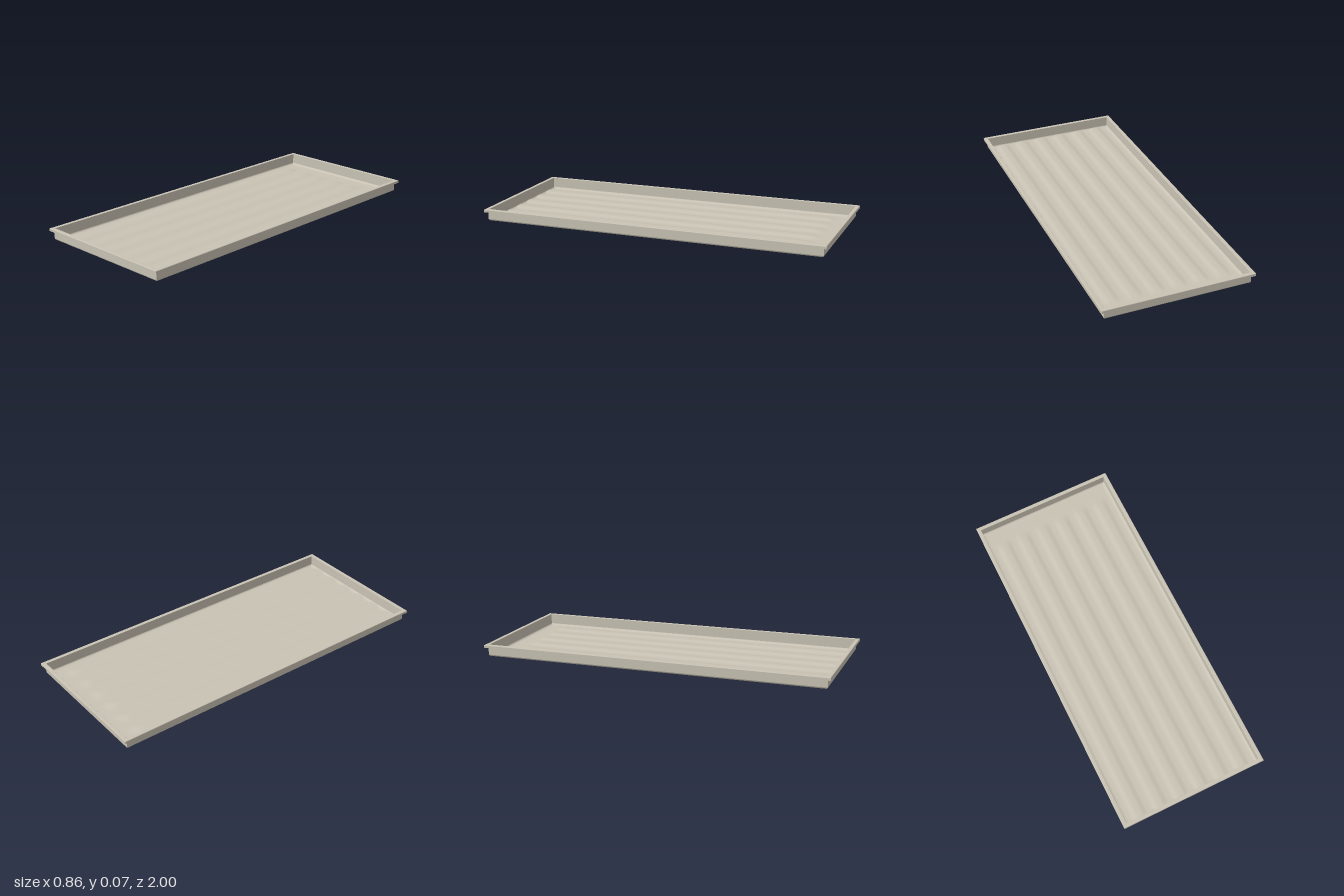
import * as THREE from 'three';

const HALF_X = 0.412, HALF_Z = 0.982; // outside of the tray walls
const SHEET = 0.004, EDGE_Y = 0.012, FILLET = 0.022;

// Six raised ribs run lengthwise, fading out before the back wall
function ribHeight(x, z) {
  const along = THREE.MathUtils.smoothstep(z, -0.89, -0.84);
  const pitch = 0.127;
  if (Math.abs(x) > pitch * 3) return 0;
  const wave = 0.5 - 0.5 * Math.cos((2 * Math.PI * x) / pitch);
  return 0.006 * along * THREE.MathUtils.smoothstep(wave, 0.05, 0.95);
}

// Grid lines: dense in the edge fillets, even in between
function gridLines(half, steps) {
  const edge = [0, 0.0015, 0.004, 0.007, 0.011, 0.016];
  const lines = edge.map(d => -half + d);
  for (let i = 0; i <= steps; i++) lines.push((half - FILLET) * (2 * i / steps - 1));
  return lines.concat(edge.map(d => half - d).reverse());
}

// One skin of the ribbed floor, curving up to meet the walls
function floorGeometry(halfX, halfZ, y0, up) {
  const xs = gridLines(halfX, 96), zs = gridLines(halfZ, 80);
  const pos = [], index = [];
  const n = xs.length;
  zs.forEach(z => xs.forEach(x => {
    const dx = Math.max(0, 1 - (halfX - Math.abs(x)) / FILLET);
    const dz = Math.max(0, 1 - (halfZ - Math.abs(z)) / FILLET);
    const t = Math.min(1, Math.max(dx, dz));
    const curve = (EDGE_Y - y0) * (1 - Math.sqrt(1 - t * t));
    pos.push(x, y0 + Math.max(curve, ribHeight(x, z)), z);
  }));
  for (let j = 0; j < zs.length - 1; j++) {
    for (let i = 0; i < n - 1; i++) {
      const a = j * n + i, b = a + 1, c = a + n, d = c + 1;
      if (up) index.push(a, c, b, b, c, d);
      else index.push(a, b, c, b, d, c);
    }
  }
  return makeGeometry(pos, index);
}

// Sweeps a profile of [outward offset, y] around the rectangle with mitred corners
function frameGeometry(profile) {
  const corners = [[1, 1], [1, -1], [-1, -1], [-1, 1]];
  const pos = [], index = [];
  corners.forEach((c0, s) => {
    const c1 = corners[(s + 1) % 4];
    const base = pos.length / 3;
    profile.forEach(([o, y], k) => {
      for (const c of [c0, c1]) pos.push(c[0] * (HALF_X + o), y, c[1] * (HALF_Z + o));
      if (k === 0) return;
      const a = base + (k - 1) * 2;
      index.push(a, a + 2, a + 3, a, a + 3, a + 1);
    });
  });
  return makeGeometry(pos, index);
}

function makeGeometry(pos, index) {
  const g = new THREE.BufferGeometry();
  g.setAttribute('position', new THREE.Float32BufferAttribute(pos, 3));
  g.setIndex(index);
  g.computeVertexNormals();
  return g;
}

export function createModel() {
  const group = new THREE.Group();
  group.name = 'tray';
  const plastic = new THREE.MeshStandardMaterial({ color: 0xc9c3b4 });
  plastic.name = 'warm grey';
  const add = (name, geometry) => {
    const mesh = new THREE.Mesh(geometry, plastic);
    mesh.name = name;
    group.add(mesh);
  };

  // Floor, inside and underside
  add('floorTop', floorGeometry(HALF_X - SHEET, HALF_Z - SHEET, 0.003, true));
  add('floorUnderside', floorGeometry(HALF_X, HALF_Z, 0, false));

  // Walls and the turned-down rim, one smooth run per face
  add('innerWall', frameGeometry([[-SHEET, EDGE_Y], [-SHEET, 0.07]]));
  add('rimTop', frameGeometry([[-SHEET, 0.07], [-0.003, 0.071], [0.015, 0.071], [0.0172, 0.07], [0.018, 0.068]]));
  add('lipOuter', frameGeometry([[0.018, 0.068], [0.018, 0.055]]));
  add('lipEdge', frameGeometry([[0.018, 0.055], [0.014, 0.055]]));
  add('lipInner', frameGeometry([[0.014, 0.055], [0.014, 0.067]]));
  add('rimUnderside', frameGeometry([[0.014, 0.067], [0, 0.067]]));
  add('outerWall', frameGeometry([[0, 0.067], [0, EDGE_Y]]));

  return group;
}
